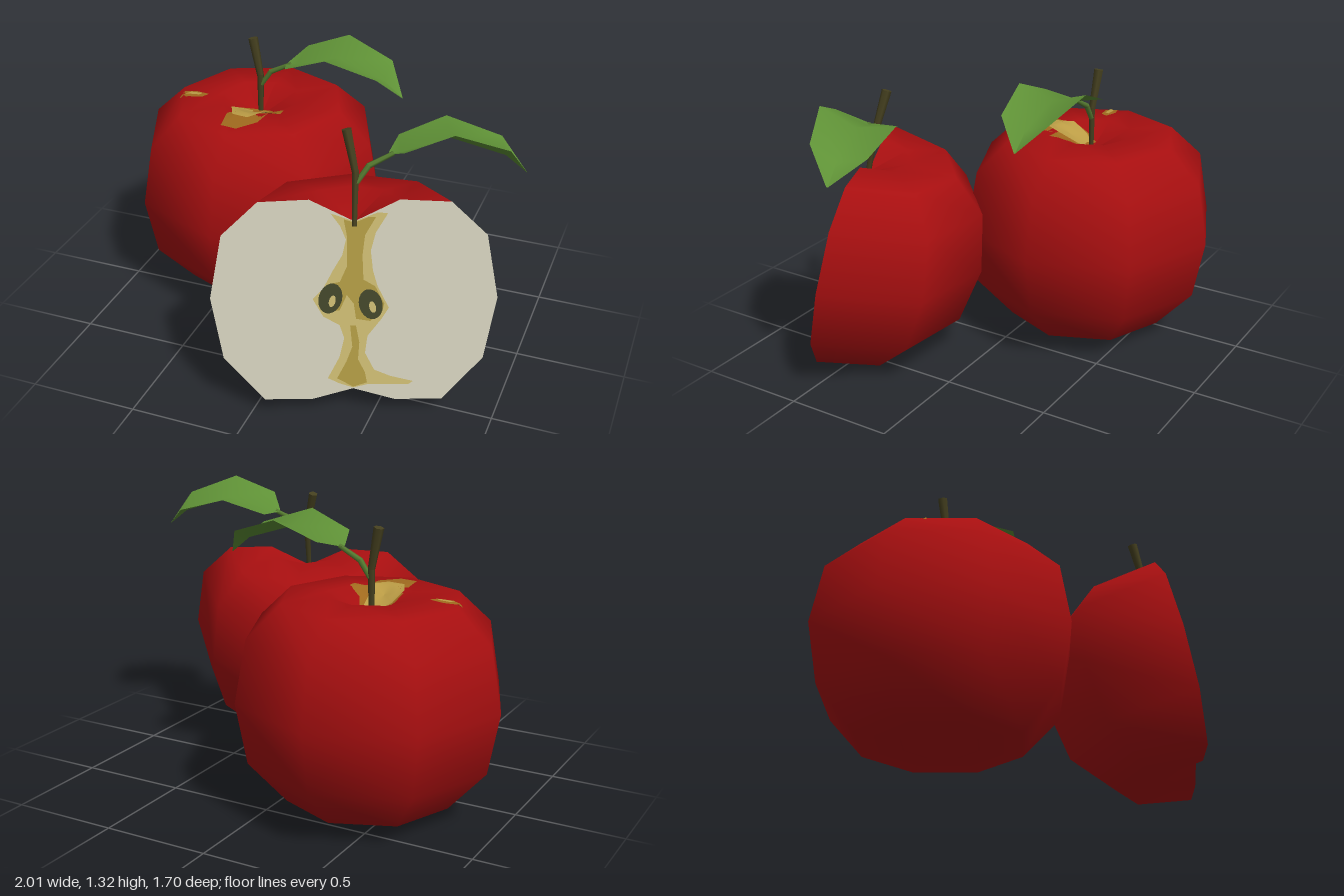
import * as THREE from 'three';

const mat = (name, color, side = THREE.FrontSide) => {
  const m = new THREE.MeshStandardMaterial({ color, side });
  m.name = name;
  return m;
};
const M = {
  skin: mat('red skin', 0xa80f10),
  flesh: mat('pale flesh', 0xd0cdb9),
  coreLight: mat('light core', 0xc9b870),
  coreDark: mat('dark core', 0xae9843),
  seed: mat('seed', 0x42452a),
  blush: mat('brown blush', 0xa06a1e, THREE.DoubleSide),
  gold: mat('gold blush', 0xbb9c45, THREE.DoubleSide),
  stem: mat('stem', 0x45401f),
  stalk: mat('leaf stalk', 0x557a30),
  leaf: mat('leaf', 0x5f9136, THREE.DoubleSide),
};

// Apple profile from bottom dent to top dent: [radius, height]
const PROFILE = [[0, -0.42], [0.18, -0.472], [0.385, -0.472], [0.56, -0.275], [0.612, 0.005],
  [0.56, 0.288], [0.405, 0.435], [0.19, 0.445], [0, 0.35]];

function add(group, name, geometry, material) {
  const mesh = new THREE.Mesh(geometry, material);
  mesh.name = name;
  group.add(mesh);
  return mesh;
}

// Tapered round rod between two points
function rod(group, name, a, b, ra, rb, material) {
  const p = new THREE.Vector3(...a), q = new THREE.Vector3(...b);
  const d = q.clone().sub(p);
  const mesh = add(group, name, new THREE.CylinderGeometry(rb, ra, d.length(), 6), material);
  mesh.position.copy(p).add(q).multiplyScalar(0.5);
  mesh.quaternion.setFromUnitVectors(new THREE.Vector3(0, 1, 0), d.normalize());
}

const polygon = (pts) => new THREE.Shape(pts.map(([x, y]) => new THREE.Vector2(x, y)));

// Leaf lofted from V-shaped sections: [x, rib height, edge height, half width]
function leafGeometry() {
  const sections = [[0.14, 0.64, 0.645, 0.015], [0.19, 0.65, 0.685, 0.15], [0.39, 0.71, 0.762, 0.168],
    [0.62, 0.635, 0.685, 0.122], [0.71, 0.56, 0.562, 0.004]];
  const pos = [], index = [];
  sections.forEach(([x, rib, edge, w], i) => {
    pos.push(x, edge, -w, x, rib, 0, x, edge, w);
    if (i === 0) return;
    for (let k = 0; k < 2; k++) {
      const a = (i - 1) * 3 + k, b = i * 3 + k;
      index.push(a, a + 1, b, a + 1, b + 1, b);
    }
  });
  const g = new THREE.BufferGeometry();
  g.setAttribute('position', new THREE.Float32BufferAttribute(pos, 3));
  g.setIndex(index);
  g.computeVertexNormals();
  return g;
}

// Height of the upper skin above a point, on the eight-sided body
function skinHeight(x, z) {
  const step = Math.PI / 4;
  const a = ((Math.atan2(z, x) % step) + step) % step - step / 2;
  const r = Math.hypot(x, z) * Math.cos(a) / Math.cos(step / 2);
  for (let i = PROFILE.length - 1; i > 4; i--) {
    const [r0, y0] = PROFILE[i], [r1, y1] = PROFILE[i - 1];
    if (r <= r1) return y0 + (y1 - y0) * (r - r0) / (r1 - r0);
  }
  return 0;
}

// Colour patch lying on the skin: rings shrinking toward a centre
function patchGeometry(outline, cx, cz, lift) {
  const rings = 8, n = outline.length, pos = [], index = [];
  for (let j = 0; j <= rings; j++) {
    for (const [px, pz] of outline) {
      const x = cx + (px - cx) * j / rings, z = cz + (pz - cz) * j / rings;
      pos.push(x, skinHeight(x, z) + lift, z);
    }
  }
  for (let j = 0; j < rings; j++) {
    for (let i = 0; i < n; i++) {
      const a = j * n + i, b = j * n + (i + 1) % n;
      index.push(a, b, a + n, b, b + n, a + n);
    }
  }
  const g = new THREE.BufferGeometry();
  g.setAttribute('position', new THREE.Float32BufferAttribute(pos, 3));
  g.setIndex(index);
  g.computeVertexNormals();
  const normal = g.attributes.normal;
  if (normal.getY(n * rings) < 0) {
    g.setIndex(index.reverse());
    g.computeVertexNormals();
  }
  return g;
}

// Skin, stem and leaf shared by both apples
function apple(name, half) {
  const g = new THREE.Group();
  g.name = name;
  const pts = PROFILE.map(([x, y]) => new THREE.Vector2(x, y));
  add(g, 'skin', half ? new THREE.LatheGeometry(pts, 4, Math.PI / 2, Math.PI)
    : new THREE.LatheGeometry(pts, 8), M.skin);
  rod(g, 'lowerStem', [0, 0.33, 0], [0.003, 0.57, 0], 0.012, 0.016, M.stem);
  rod(g, 'upperStem', [0.003, 0.56, 0], [-0.035, 0.745, -0.01], 0.016, 0.023, M.stem);
  rod(g, 'lowerStalk', [0.005, 0.515, 0], [0.06, 0.595, 0], 0.012, 0.013, M.stalk);
  rod(g, 'upperStalk', [0.055, 0.59, 0], [0.16, 0.645, 0], 0.013, 0.01, M.stalk);
  add(g, 'leaf', leafGeometry(), M.leaf);
  return g;
}

// Flat cut face with core and seeds in thin layers
function addCutFace(g) {
  const layer = (name, shape, z, material) =>
    add(g, name, new THREE.ShapeGeometry(shape, 10), material).position.setZ(z);
  const mirrored = PROFILE.slice(1, -1).reverse().map(([x, y]) => [-x, y]);
  layer('cutFlesh', polygon([...PROFILE, ...mirrored]), 0, M.flesh);
  layer('outerCore', polygon([[0, 0.35], [-0.1, 0.385], [-0.06, 0.33], [-0.035, 0.27], [-0.05, 0.2],
    [-0.09, 0.13], [-0.13, 0.05], [-0.175, 0], [-0.13, -0.08], [-0.06, -0.12], [-0.04, -0.18],
    [-0.06, -0.27], [-0.11, -0.37], [-0.06, -0.395], [0, -0.415], [0.06, -0.4], [0.24, -0.4], [0.26, -0.385],
    [0.16, -0.36], [0.09, -0.33], [0.05, -0.25], [0.06, -0.17], [0.12, -0.09], [0.15, -0.04], [0.1, 0.06],
    [0.08, 0.13], [0.07, 0.22], [0.09, 0.3], [0.14, 0.385], [0.1, 0.39]]), 0.002, M.coreLight);
  layer('innerCore', polygon([[0, 0.345], [-0.045, 0.36], [-0.03, 0.28], [-0.03, 0.15], [-0.06, 0.08],
    [-0.11, 0.07], [-0.15, 0.01], [-0.12, -0.06], [-0.06, -0.05], [-0.03, 0.02], [0, -0.02], [0.01, -0.09],
    [0.07, -0.1], [0.12, -0.06], [0.13, -0.02], [0.09, 0.06], [0.04, 0.09], [0.035, 0.2], [0.045, 0.29],
    [0.09, 0.37], [0.06, 0.37]]), 0.004, M.coreDark);
  layer('lowerCore', polygon([[-0.015, -0.12], [-0.005, -0.22], [-0.03, -0.29], [-0.07, -0.37], [0, -0.41],
    [0.06, -0.39], [0.05, -0.34], [0.02, -0.28], [0.025, -0.2], [0.01, -0.12]]), 0.004, M.coreDark);
  for (const [x, y, tilt] of [[-0.1, 0.005, -0.25], [0.072, -0.022, 0.25]]) {
    layer('seed', new THREE.Shape().absellipse(x, y, 0.05, 0.07, 0, Math.PI * 2, false, tilt), 0.006, M.seed);
    layer('seedHeart', new THREE.Shape().absellipse(x + 0.008, y - 0.012, 0.014, 0.027, 0, Math.PI * 2, false, tilt),
      0.008, M.coreLight);
  }
}

export function createModel() {
  const model = new THREE.Group();
  model.name = 'apples';

  const whole = apple('wholeApple', false);
  whole.position.set(-0.388, 0.555, -0.24);
  add(whole, 'stemBlush', patchGeometry([[-0.09, 0.12], [-0.08, 0.06], [-0.05, 0], [0.06, 0], [0.09, 0.06],
    [0.16, 0.1], [0.16, 0.14], [0.1, 0.14], [0.09, 0.25], [0.02, 0.34], [-0.06, 0.33], [-0.08, 0.22]],
  0, 0.12, 0.004), M.blush);
  add(whole, 'stemBlushCentre', patchGeometry([[-0.09, 0.14], [-0.07, 0.06], [-0.03, 0.01], [0.05, 0.02],
    [0.07, 0.17], [0.03, 0.23], [-0.05, 0.22]], 0, 0.12, 0.008), M.gold);
  add(whole, 'sideBlush', patchGeometry([[-0.39, 0.09], [-0.38, 0.05], [-0.32, 0.035], [-0.25, 0.05],
    [-0.27, 0.085], [-0.34, 0.1]], -0.32, 0.07, 0.004), M.blush);
  add(whole, 'sideBlushCentre', patchGeometry([[-0.36, 0.08], [-0.34, 0.055], [-0.28, 0.055],
    [-0.29, 0.075]], -0.32, 0.068, 0.008), M.gold);
  model.add(whole);

  // Half apple leaning back, cut face turned forward
  const half = apple('halfApple', true);
  addCutFace(half);
  half.position.set(0.385, 0.55, 0.59);
  half.rotation.set(-0.21, 0.367, 0, 'YXZ');
  model.add(half);
  return model;
}
